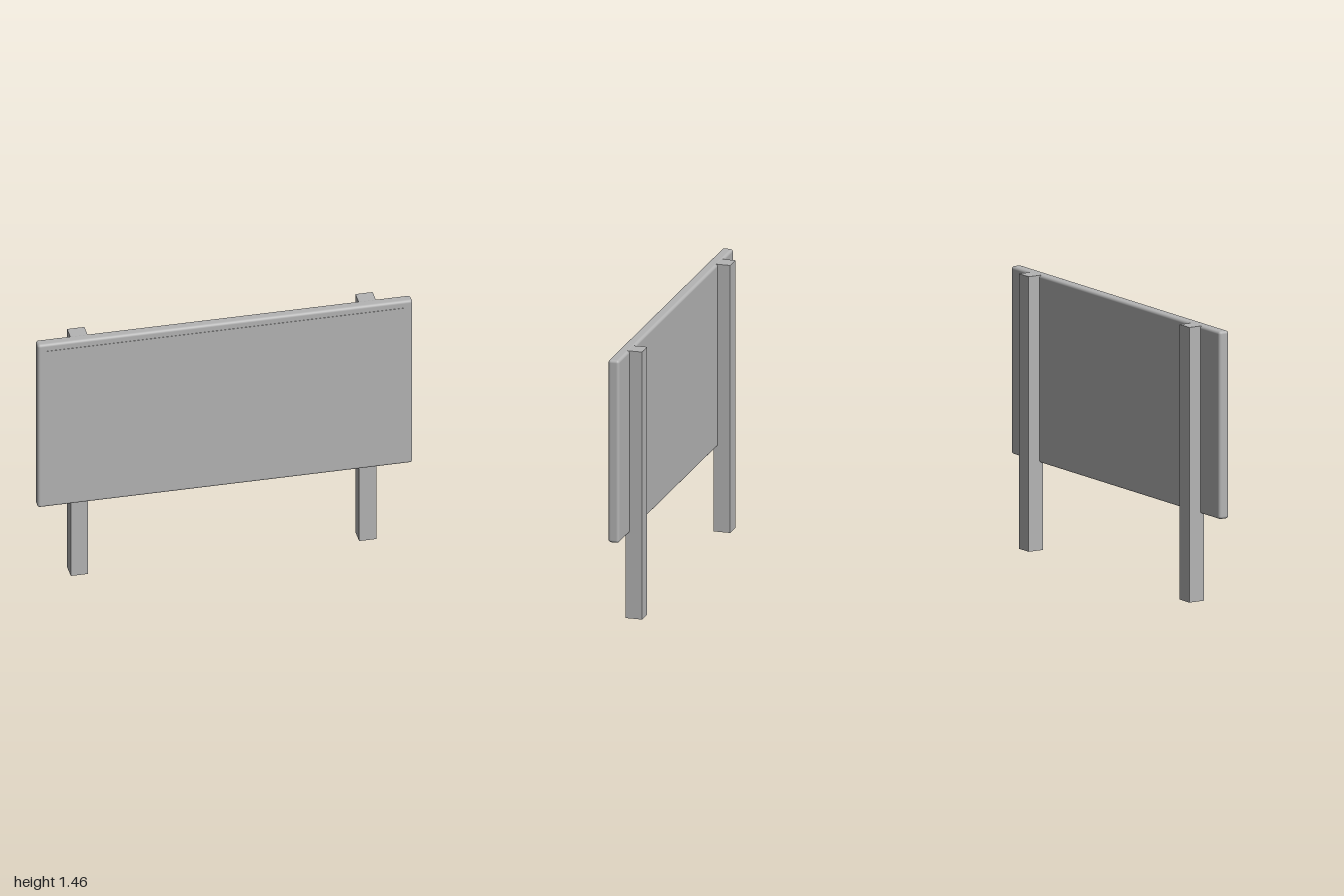
import * as THREE from 'three';
import { RoundedBoxGeometry } from 'three/addons/geometries/RoundedBoxGeometry.js';

export function createModel() {
  const model = new THREE.Group();
  model.name = 'billboard';
  const grey = new THREE.MeshStandardMaterial({ color: 0xb4b4b4 });
  grey.name = 'plain grey';

  const add = (name, geometry, x, y, z) => {
    const mesh = new THREE.Mesh(geometry, grey);
    mesh.name = name;
    mesh.position.set(x, y, z);
    model.add(mesh);
  };

  // Board with softly rounded edges
  const boardY = 0.964;
  add('board', new RoundedBoxGeometry(2, 0.998, 0.06, 4, 0.015), 0, boardY, 0.033);

  // Thin display face, barely proud of the board
  add('displayFace', new THREE.BoxGeometry(1.92, 0.918, 0.006), 0, boardY, 0.062);

  // Square posts up the back, running into the board
  for (const side of [-1, 1]) {
    add(side > 0 ? 'leftPost' : 'rightPost',
      new THREE.BoxGeometry(0.092, 1.462, 0.09), side * 0.769, 0.731, -0.02);
  }
  return model;
}
